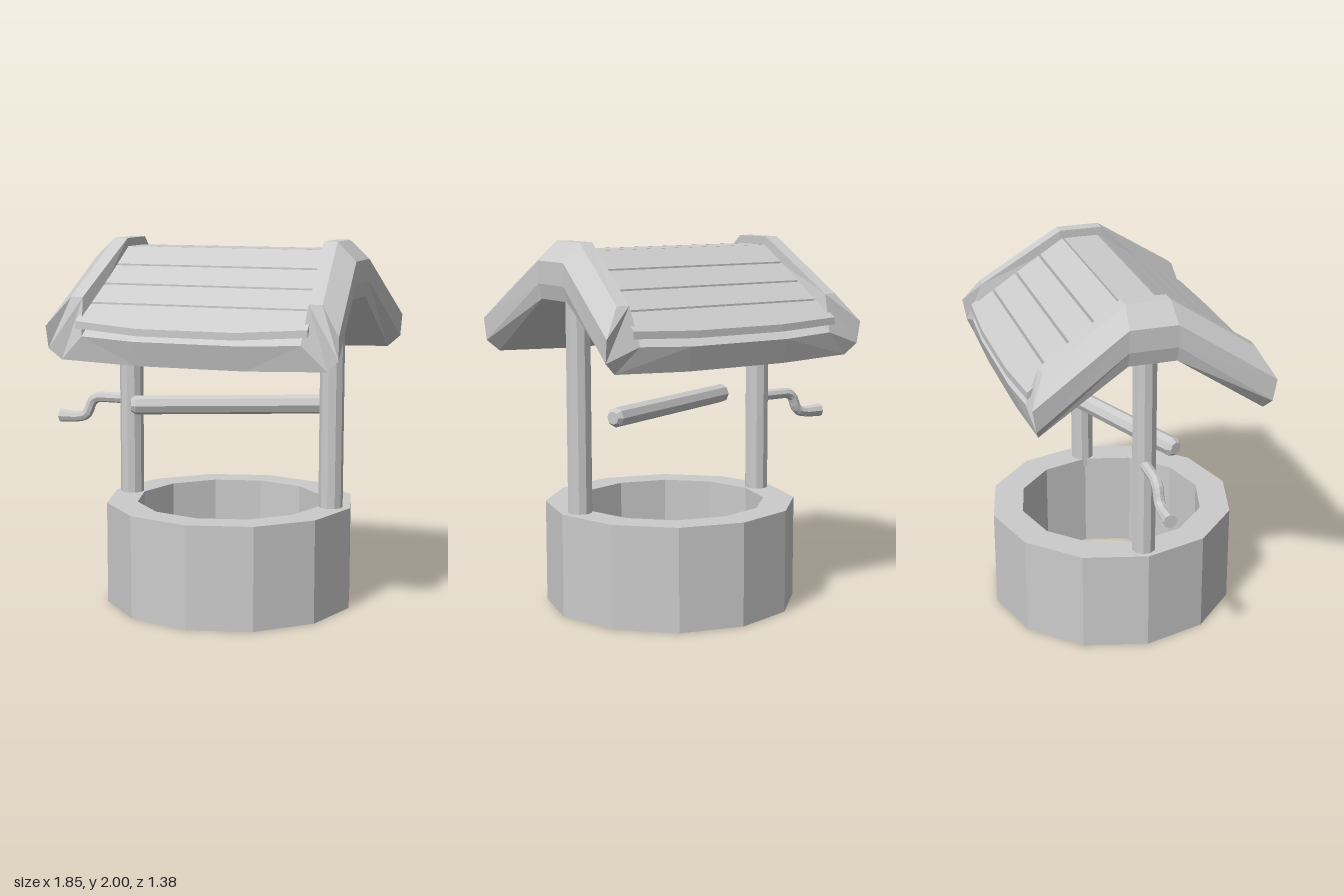
import * as THREE from 'three';

const CX = 0.12; // the well sits off-centre because the crank sticks out on one side
const grey = new THREE.MeshStandardMaterial({ color: 0xcccccc, flatShading: true });

function part(name, geometry, x = 0, y = 0, z = 0) {
  const mesh = new THREE.Mesh(geometry, grey);
  mesh.name = name;
  mesh.position.set(x, y, z);
  return mesh;
}

// Solid skinned over matching cross-section loops; point i of a loop lies opposite point n-1-i
function loft(sections) {
  const n = sections[0].length;
  const tris = [];
  const quad = (a, b, c, d) => tris.push([a, b, c], [a, c, d]);
  for (let s = 0; s < sections.length - 1; s++) {
    for (let i = 0; i < n; i++) {
      const j = (i + 1) % n;
      quad(sections[s][i], sections[s][j], sections[s + 1][j], sections[s + 1][i]);
    }
  }
  const first = sections[0], last = sections[sections.length - 1];
  for (let i = 0; i < n / 2 - 1; i++) {
    quad(first[n - 1 - i], first[n - 2 - i], first[i + 1], first[i]);
    quad(last[i], last[i + 1], last[n - 2 - i], last[n - 1 - i]);
  }
  // Turn the faces outward if the enclosed volume is negative
  let volume = 0;
  for (const [a, b, c] of tris) volume += a.dot(b.clone().cross(c));
  if (volume < 0) tris.forEach((t) => t.reverse());
  const geometry = new THREE.BufferGeometry().setFromPoints(tris.flat());
  geometry.computeVertexNormals();
  return geometry;
}

// Roof frame half-section as [x, y, z] at the eave and at the ridge
const EAVE = [
  [0, 1.365, 0.615], [0.3, 1.365, 0.615], [0.73, 1.38, 0.605], [0.795, 1.44, 0.63], [0.8, 1.56, 0.65],
  [0.69, 1.71, 0.565], [0.62, 1.71, 0.57], [0.6, 1.51, 0.635], [0.3, 1.495, 0.65], [0, 1.495, 0.65],
];
const RIDGE = [
  [0, 1.7, 0.13], [0.3, 1.7, 0.13], [0.72, 1.7, 0.13], [0.74, 1.78, 0.13], [0.74, 1.9, 0.13],
  [0.635, 2, 0.12], [0.56, 2, 0.12], [0.56, 1.91, 0.12], [0.3, 1.91, 0.12], [0, 1.91, 0.12],
];

function roofHalf(side) {
  const section = (points, dir) => points.map(([x, y, z]) => new THREE.Vector3(x * side, y, z * dir));
  return loft([section(EAVE, -1), section(RIDGE, -1), section(RIDGE, 1), section(EAVE, 1)]);
}

// Height and half width of the plank layer at distance z from the ridge line
const plankY = (z) => 1.955 - 0.7 * Math.max(0, Math.abs(z) - 0.11);
const plankHalf = (z) => 0.575 + 0.115 * Math.max(0, Math.abs(z) - 0.11);

// One roof board running along x, its lower edge optionally bowed outward in the middle
function plank(z0, z1, bow = 0) {
  const t = 0.038;
  const sections = [-1, -0.42, 0.42, 1].map((u) => {
    const end = z1 + (Math.abs(u) < 1 ? bow : 0);
    const at = (z, drop) => new THREE.Vector3(u * plankHalf(z), plankY(z) - drop, z);
    return [at(z0, 0), at(end, 0), at(end, t), at(z0, t)];
  });
  return loft(sections);
}

export function createModel() {
  const model = new THREE.Group();
  model.name = 'well';

  // Twelve-sided stone ring, open through the middle
  const ring = [[0.69, 0], [0.69, 0.56], [0.52, 0.56], [0.52, 0], [0.69, 0]];
  model.add(part('wellRing', new THREE.LatheGeometry(ring.map((p) => new THREE.Vector2(...p)), 12), CX));

  // Posts from the ring up to the roof
  for (const [name, x] of [['rightPost', -0.475], ['leftPost', 0.7]]) {
    model.add(part(name, new THREE.CylinderGeometry(0.066, 0.066, 1.24, 10), x, 1.13, 0));
  }

  // Rope roller with bevelled ends
  const rollerProfile = [[0, -0.545], [0.035, -0.545], [0.053, -0.52], [0.053, 0.52], [0.035, 0.545], [0, 0.545]];
  const roller = new THREE.LatheGeometry(rollerProfile.map((p) => new THREE.Vector2(...p)), 8);
  roller.rotateX(Math.PI / 8).rotateZ(Math.PI / 2);
  model.add(part('roller', roller, 0.115, 1.09, 0));

  // Bent crank with a flared grip
  const crank = new THREE.Group();
  crank.name = 'crank';
  const path = new THREE.CurvePath();
  const v = (x, y) => new THREE.Vector3(x, y, -0.01);
  path.add(new THREE.LineCurve3(v(-0.45, 1.09), v(-0.66, 1.09)));
  path.add(new THREE.CubicBezierCurve3(v(-0.66, 1.09), v(-0.78, 1.09), v(-0.7, 0.97), v(-0.82, 0.97)));
  crank.add(part('crankArm', new THREE.TubeGeometry(path, 18, 0.03, 8)));
  const grip = new THREE.CylinderGeometry(0.038, 0.03, 0.115, 8).rotateZ(Math.PI / 2);
  crank.add(part('crankGrip', grip, -0.87, 0.968, -0.01));
  model.add(crank);

  // Roof frame: thick slab with raised, flaring gable edges
  const roof = new THREE.Group();
  roof.name = 'roof';
  roof.position.x = CX;
  roof.add(part('roofFrameLeft', roofHalf(1)), part('roofFrameRight', roofHalf(-1)));

  // Boards: a flat ridge board and four on each slope
  roof.add(part('ridgeBoard', plank(-0.098, 0.098)));
  const rows = [0.11, 0.247, 0.382, 0.515, 0.645];
  for (let i = 0; i < 4; i++) {
    const bow = i === 3 ? 0.035 : 0;
    const front = plank(rows[i], rows[i + 1] - 0.012, bow);
    const back = plank(rows[i], rows[i + 1] - 0.012, bow * 0.6);
    const backBoard = part('backBoard', back);
    backBoard.rotation.y = Math.PI;
    roof.add(part('frontBoard', front), backBoard);
  }
  model.add(roof);
  return model;
}
